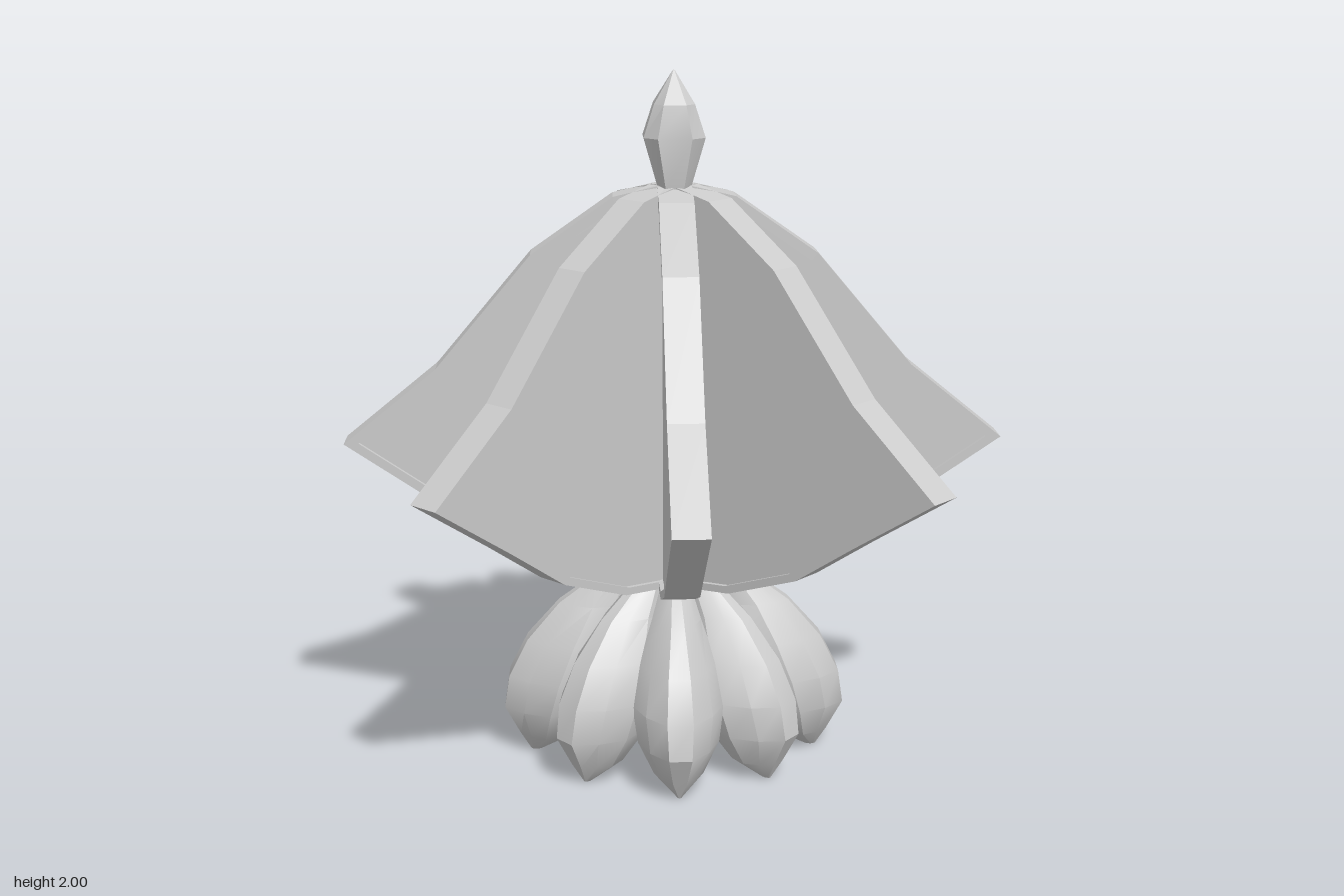
import * as THREE from 'three';
import { toCreasedNormals } from 'three/addons/utils/BufferGeometryUtils.js';

const material = new THREE.MeshStandardMaterial({ color: 0xcccccc });

function addMesh(parent, geometry, name) {
  const mesh = new THREE.Mesh(geometry, material);
  mesh.name = name;
  parent.add(mesh);
  return mesh;
}

// Closed skin over rings given bottom to top, each ring running from +x towards +z
function loft(rings, crease) {
  const n = rings[0].length;
  const last = rings.length - 1;
  const points = rings.flat();
  const index = [];
  for (let i = 0; i < last; i++) {
    for (let j = 0; j < n; j++) {
      const a = i * n + j, b = i * n + (j + 1) % n;
      index.push(a, a + n, b, b, a + n, b + n);
    }
  }
  for (let j = 1; j < n - 1; j++) {
    index.push(0, j, j + 1, last * n, last * n + j + 1, last * n + j);
  }
  const geometry = new THREE.BufferGeometry().setFromPoints(points);
  geometry.setIndex(index);
  return toCreasedNormals(geometry.toNonIndexed(), crease);
}

// Blade outline: right half, mirrored to the left, scaled about its middle
function bladeOutline(scale) {
  const half = [
    [0.1, 0.54], [0.25, 0.56], [0.49, 0.655], [0.68, 0.79], [0.935, 0.965],
    [0.67, 1.18], [0.4, 1.5], [0.17, 1.66], [0.04, 1.69],
  ];
  const left = half.map(([x, y]) => [-x, y]).reverse();
  return [...half, ...left].map(([x, y]) => new THREE.Vector2(x * scale, 1 + (y - 1) * scale));
}

function plate(shape, depth) {
  return new THREE.ExtrudeGeometry(shape, { depth, bevelEnabled: false }).translate(0, 0, -depth / 2);
}

// Pod: [y, outer radius, inner radius, half width], with a flat spine on the outside
function podGeometry() {
  const sections = [
    [0.003, 0.425, 0.395, 0.008], [0.06, 0.455, 0.29, 0.07], [0.15, 0.5, 0.2, 0.115],
    [0.25, 0.485, 0.16, 0.13], [0.36, 0.43, 0.13, 0.11], [0.47, 0.335, 0.12, 0.07],
    [0.54, 0.24, 0.12, 0.046],
  ];
  const side = [[1, 0.28], [0.62, 0.72], [0.1, 1], [-0.5, 0.85], [-1, 0.3]];
  const outline = [...side, ...side.map(([u, v]) => [u, -v]).reverse()];
  return loft(sections.map(([y, outer, inner, width]) => outline.map(([u, v]) =>
    new THREE.Vector3((outer + inner) / 2 + u * (outer - inner) / 2, y, v * width))), 0.5);
}

// Finial: [y, half width, half depth] with chamfered square sections
function finialGeometry() {
  const sections = [
    [1.68, 0.045, 0.07], [1.82, 0.085, 0.09], [1.91, 0.056, 0.075], [2, 0.002, 0.002],
  ];
  const outline = [[1, -0.55], [1, 0.55], [0.55, 1], [-0.55, 1], [-1, 0.55], [-1, -0.55], [-0.55, -1], [0.55, -1]];
  return loft(sections.map(([y, w, d]) => outline.map(([x, z]) =>
    new THREE.Vector3(x * w, y, z * d))), 0.35);
}

export function createModel() {
  const model = new THREE.Group();
  model.name = 'finnedOrnament';

  // Four crossing blades form eight fins, each with a raised rim and a recessed panel
  const rimShape = new THREE.Shape(bladeOutline(1));
  rimShape.holes.push(new THREE.Path(bladeOutline(0.955)));
  const rim = plate(rimShape, 0.096);
  const panel = plate(new THREE.Shape(bladeOutline(0.975)), 0.07);
  for (let i = 0; i < 4; i++) {
    const blade = new THREE.Group();
    blade.name = 'blade';
    blade.rotation.y = i * Math.PI / 4;
    addMesh(blade, rim, 'bladeRim');
    addMesh(blade, panel, 'bladePanel');
    model.add(blade);
  }

  // Eight pods hang in a slightly oval ring
  const pod = podGeometry();
  const addPod = (angle, shift) => {
    const holder = new THREE.Group();
    holder.name = 'podHolder';
    holder.rotation.y = angle;
    addMesh(holder, pod, 'pod').position.x = shift;
    model.add(holder);
  };
  for (const turn of [0, Math.PI]) {
    addPod(turn, 0);
    addPod(turn + Math.PI / 2, -0.07);
    addPod(turn + 0.72, -0.07);
    addPod(turn - 0.72, -0.07);
  }

  addMesh(model, finialGeometry(), 'finial');
  return model;
}
